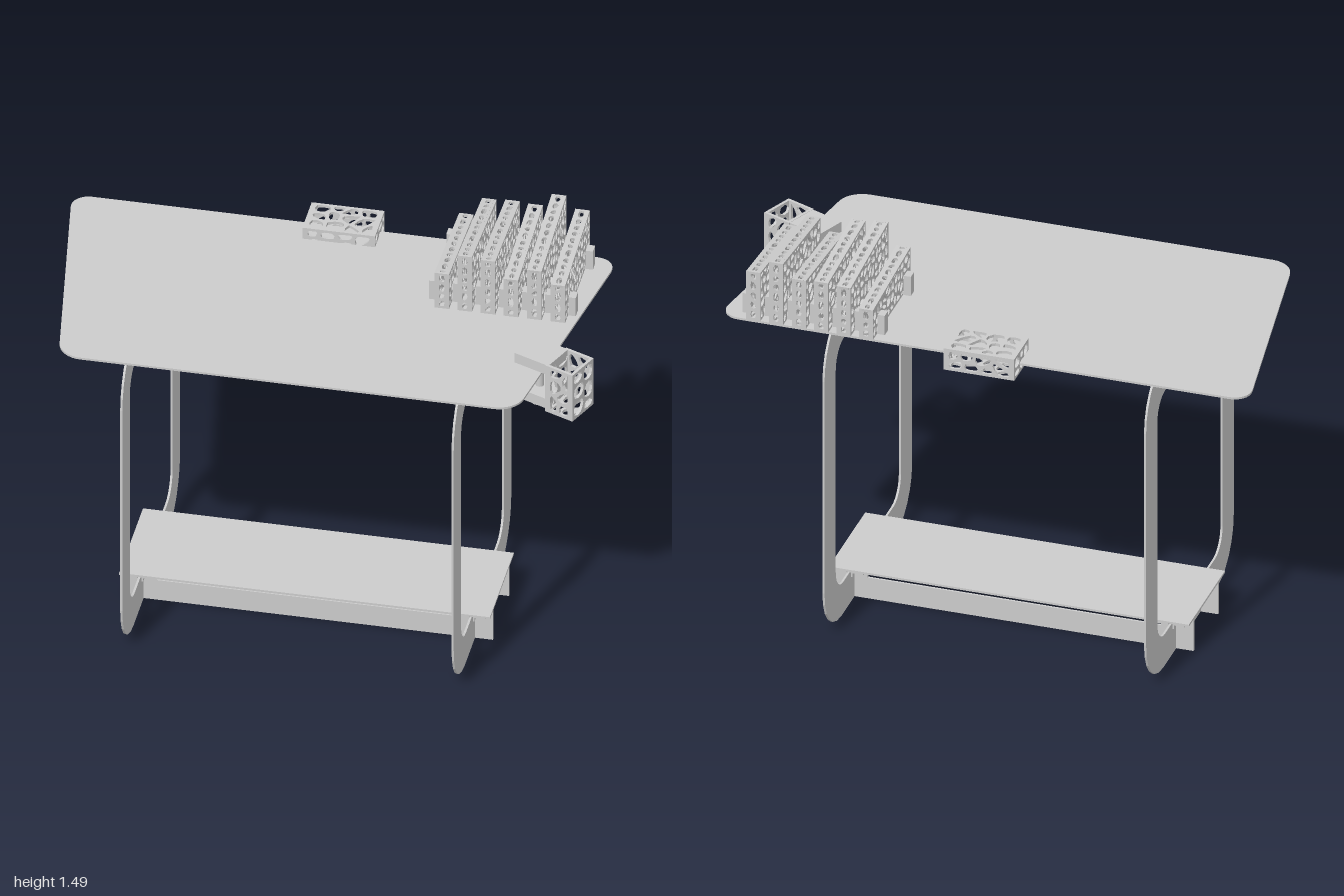
import * as THREE from 'three';
import { mergeGeometries } from 'three/addons/utils/BufferGeometryUtils.js';

const grey = new THREE.MeshStandardMaterial({ color: 0xcccccc, side: THREE.DoubleSide });

let seed = 7;
function rand() {
  seed = (seed * 16807) % 2147483647;
  return seed / 2147483647;
}

function add(parent, name, geometry, x = 0, y = 0, z = 0) {
  const mesh = new THREE.Mesh(geometry, grey);
  mesh.name = name;
  mesh.position.set(x, y, z);
  parent.add(mesh);
  return mesh;
}

const box = (w, h, d) => new THREE.BoxGeometry(w, h, d);

// Polygon with rounded corners, drawn into a Shape or Path
function roundedPolygon(path, pts, r) {
  const k = 0.448;
  const v = pts.map(p => new THREE.Vector2(...p));
  v.forEach((c, i) => {
    const prev = v[(i + v.length - 1) % v.length], next = v[(i + 1) % v.length];
    const a = prev.clone().sub(c).setLength(r).add(c);
    const b = next.clone().sub(c).setLength(r).add(c);
    const ca = a.clone().lerp(c, 1 - k), cb = b.clone().lerp(c, 1 - k);
    if (i === 0) path.moveTo(a.x, a.y); else path.lineTo(a.x, a.y);
    path.bezierCurveTo(ca.x, ca.y, cb.x, cb.y, b.x, b.y);
  });
  path.closePath();
  return path;
}

const rect = (x0, y0, x1, y1) => [[x0, y0], [x1, y0], [x1, y1], [x0, y1]];
const extrude = (shape, depth, curveSegments = 6) =>
  new THREE.ExtrudeGeometry(shape, { depth, curveSegments, bevelEnabled: false });

// Keep the part of a convex polygon where (p - o) . n >= 0
function clip(poly, o, n) {
  const out = [];
  poly.forEach((a, i) => {
    const b = poly[(i + 1) % poly.length];
    const da = a.clone().sub(o).dot(n), db = b.clone().sub(o).dot(n);
    if (da >= 0) out.push(a);
    if ((da >= 0) !== (db >= 0)) out.push(a.clone().lerp(b, da / (da - db)));
  });
  return out;
}

// Perforated panel: rounded cells around jittered points, divided by struts
function latticePanel(corners, cell, strut, thickness) {
  const outline = corners.map(c => new THREE.Vector2(...c));
  const { min, max } = new THREE.Box2().setFromPoints(outline);
  const nx = Math.max(1, Math.round((max.x - min.x) / cell));
  const ny = Math.max(1, Math.round((max.y - min.y) / cell));
  const points = [];
  for (let i = 0; i < nx; i++) for (let j = 0; j < ny; j++) {
    points.push(new THREE.Vector2(
      min.x + (max.x - min.x) * (i + 0.5 + 0.75 * (rand() - 0.5)) / nx,
      min.y + (max.y - min.y) * (j + 0.5 + 0.75 * (rand() - 0.5)) / ny));
  }
  const shape = new THREE.Shape(outline);
  for (const p of points) {
    let poly = outline;
    outline.forEach((a, i) => {
      const d = outline[(i + 1) % outline.length].clone().sub(a).normalize();
      const n = new THREE.Vector2(-d.y, d.x);
      poly = clip(poly, a.clone().addScaledVector(n, strut * 0.8), n);
    });
    for (const q of points) {
      if (q === p) continue;
      const n = p.clone().sub(q).normalize();
      poly = clip(poly, p.clone().add(q).multiplyScalar(0.5).addScaledVector(n, strut / 2), n);
    }
    if (poly.length < 3 || Math.abs(THREE.ShapeUtils.area(poly)) < 0.00006) continue;
    const hole = new THREE.Path();
    const mid = i => poly[i % poly.length].clone().lerp(poly[(i + 1) % poly.length], 0.5);
    hole.moveTo(mid(0).x, mid(0).y);
    for (let i = 1; i <= poly.length; i++) {
      const c = poly[i % poly.length], m = mid(i);
      hole.quadraticCurveTo(c.x, c.y, m.x, m.y);
    }
    shape.holes.push(hole);
  }
  return extrude(shape, thickness, 2);
}

// Hollow box of perforated panels, standing on y = 0, with a sloping top
function latticeBox(w, d, hFront, hBack, cell, strut, open = false) {
  const t = strut;
  const panel = pts => latticePanel(pts, cell, strut, t);
  const side = [[-d / 2, 0], [d / 2, 0], [d / 2, hBack], [-d / 2, hFront]];
  const iw = w / 2 - t;
  const parts = [
    panel(side).rotateY(Math.PI / 2).translate(w / 2 - t, 0, 0),
    panel(side).rotateY(Math.PI / 2).translate(-w / 2, 0, 0),
    panel(rect(-iw, 0, iw, hFront)).translate(0, 0, d / 2 - t),
    panel(rect(-iw, 0, iw, hBack)).translate(0, 0, -d / 2),
    panel(rect(-iw, -d / 2, iw, d / 2)).rotateX(-Math.PI / 2),
  ];
  if (!open) {
    const slope = Math.atan2(hBack - hFront, d), len = Math.hypot(d, hBack - hFront) / 2;
    parts.push(panel(rect(-iw, -len, iw, len)).rotateX(slope - Math.PI / 2)
      .translate(0, (hFront + hBack) / 2 - t, 0));
  }
  return mergeGeometries(parts);
}

export function createModel() {
  const model = new THREE.Group();
  model.name = 'desk';

  // Tapered tabletop
  const top = roundedPolygon(new THREE.Shape(),
    [[-0.852, -0.515], [0.782, -0.515], [0.945, 0.46], [-1.01, 0.46]], 0.075);
  add(model, 'tabletop', extrude(top, 0.008, 8).rotateX(-Math.PI / 2), 0, 1.235, 0);

  // Looped leg frames
  const loop = roundedPolygon(new THREE.Shape(), rect(-0.52, 0, 0.46, 1.23), 0.19);
  loop.holes.push(roundedPolygon(new THREE.Path(), rect(-0.395, 0.125, 0.335, 1.102), 0.085));
  for (const x of [-0.627, 0.557]) {
    add(model, 'legFrame', extrude(loop, 0.008, 6).rotateY(Math.PI / 2), x - 0.004, 0, 0);
  }

  // Shelf
  add(model, 'shelf', box(1.325, 0.008, 0.405), -0.035, 0.134, 0.018);

  // Cross beams with raised ends, and the brackets and bolts on them
  for (const [y, raised] of [[0, 0.125], [1.14, 0.09]]) {
    for (const z of [0.155, -0.12]) {
      const beam = new THREE.Shape([[-0.695, 0], [0.625, 0], [0.625, raised], [0.505, raised],
        [0.505, 0.083], [-0.575, 0.083], [-0.575, raised], [-0.695, raised]]
        .map(p => new THREE.Vector2(...p)));
      add(model, 'crossBeam', extrude(beam, 0.008), 0, y, z - 0.004);
      const by = y + raised;
      for (const x of [-0.627, 0.557]) {
        for (const s of [-1, 1]) {
          add(model, 'bracketPlate', box(0.046, 0.006, 0.12), x + s * 0.031, by + 0.001, z);
          for (const e of [-1, 1]) {
            add(model, 'bracketFlange', box(0.006, 0.02, 0.05), x + s * 0.01, by - 0.01, z + e * 0.03);
            const bolt = new THREE.CylinderGeometry(0.007, 0.007, 0.012, 8).rotateZ(Math.PI / 2);
            add(model, 'bracketBolt', bolt, x + s * 0.019, by - 0.01, z + e * 0.03);
          }
        }
      }
    }
  }

  // Row of perforated upright slabs on two rails: [x, front top, back top]
  const rack = new THREE.Group();
  rack.name = 'slabRack';
  model.add(rack);
  const slabs = [[0.4, 1.39, 1.36], [0.482, 1.475, 1.435], [0.565, 1.468, 1.44],
    [0.647, 1.4, 1.435], [0.731, 1.45, 1.488], [0.815, 1.4, 1.437]];
  for (const [x, front, back] of slabs) {
    add(rack, 'uprightSlab', latticeBox(0.052, 0.42, front - 1.243, back - 1.243, 0.039, 0.009),
      x, 1.243, -0.252);
  }
  for (const z of [-0.4, -0.108]) {
    add(rack, 'rackRail', box(0.5, 0.012, 0.038), 0.606, 1.25, z);
    for (let i = 0; i <= 6; i++) {
      add(rack, 'rackDivider', box(0.026, 0.077, 0.038), 0.358 + i * 0.083, 1.282, z);
    }
  }

  // Perforated holder on the back edge
  add(model, 'edgeHolder', latticeBox(0.26, 0.16, 0.085, 0.085, 0.055, 0.01), -0.035, 1.204, -0.44);

  // Clamped cup on the side edge
  const cup = new THREE.Group();
  cup.name = 'clampedCup';
  cup.position.set(0.917, 0, 0.247);
  cup.rotation.y = -0.39;
  model.add(cup);
  add(cup, 'cup', latticeBox(0.115, 0.132, 0.195, 0.195, 0.058, 0.011, true), 0, 1.09, 0);
  add(cup, 'upperJaw', box(0.14, 0.04, 0.124), -0.12, 1.264, 0);
  add(cup, 'lowerJaw', box(0.14, 0.04, 0.124), -0.12, 1.12, 0);
  add(cup, 'clampScrew', new THREE.CylinderGeometry(0.015, 0.015, 0.13, 12), -0.125, 1.16, 0);
  add(cup, 'clampPad', new THREE.CylinderGeometry(0.033, 0.033, 0.012, 16), -0.125, 1.227, 0);
  add(cup, 'clampKnob', new THREE.CylinderGeometry(0.036, 0.036, 0.025, 12), -0.125, 1.088, 0);

  return model;
}
